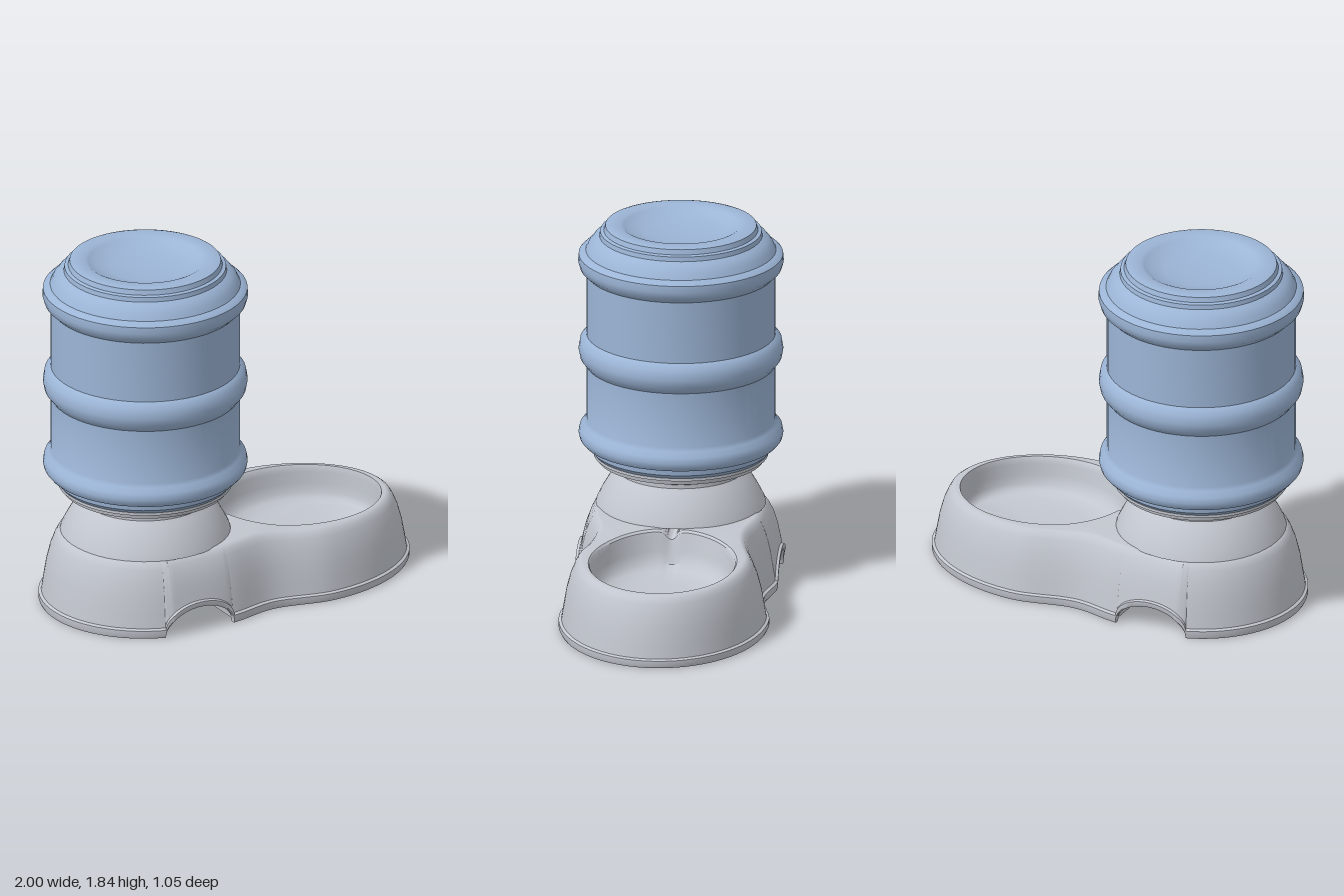
import * as THREE from 'three';
import { toCreasedNormals } from 'three/addons/utils/BufferGeometryUtils.js';

const plastic = new THREE.MeshStandardMaterial({ color: 0xc2c6ce, side: THREE.DoubleSide });
plastic.name = 'pale grey plastic';
const blue = new THREE.MeshStandardMaterial({ color: 0x9cb5d6 });
blue.name = 'blue plastic';

const JUG_X = -0.465;
const smooth = (x, a, b, from, to) => from + (to - from) * THREE.MathUtils.smoothstep(x, a, b);

// Half-width of the two-lobed footprint
function halfWidth(x) {
  if (x < -0.47) return Math.min(0.51, 0.525 * Math.sqrt(Math.max(0, 1 - ((x + 0.47) / 0.53) ** 2)));
  if (x < 0) return smooth(x, -0.27, 0, 0.51, 0.465);
  if (x < 0.33) return smooth(x, 0, 0.33, 0.465, 0.525);
  return 0.525 * Math.sqrt(Math.max(0, 1 - ((x - 0.33) / 0.67) ** 2));
}

// Height of the arch cut through the foot, and height of the upper edge
const arch = x => 0.13 * Math.sqrt(Math.max(0, 1 - ((x + 0.445) / 0.195) ** 2));
const topHeight = x => (x < 0.2 ? smooth(x, -0.1, 0.2, 0.38, 0.362) : 0.362 - 0.024 * (x - 0.2));

// Surface through rows of points
function surface(rows, closed) {
  const n = rows[0].length, index = [];
  for (let j = 0; j < rows.length - 1; j++) {
    for (let i = 0; i < (closed ? n : n - 1); i++) {
      const k = (i + 1) % n, a = j * n + i, b = j * n + k;
      index.push(a, b, b + n, a, b + n, a + n);
    }
  }
  const geo = new THREE.BufferGeometry();
  geo.setAttribute('position', new THREE.Float32BufferAttribute(rows.flat(2), 3));
  geo.setIndex(index);
  return toCreasedNormals(geo, 0.6);
}

// Footprint loop with outward normals
function footprint() {
  const xs = [];
  for (const [a, b, n] of [[-1, -0.64, 24], [-0.64, -0.25, 28], [-0.25, 1, 50]]) {
    for (let i = 0; i < n; i++) xs.push(a + (b - a) * (1 - Math.cos(Math.PI * i / n)) / 2);
  }
  xs.push(1);
  const front = xs.map(x => [x, halfWidth(x)]);
  const loop = [...front, ...front.slice(1, -1).reverse().map(([x, z]) => [x, -z])];
  return loop.map(([x, z], i) => {
    const p = loop[(i + loop.length - 1) % loop.length], q = loop[(i + 1) % loop.length];
    const dx = q[0] - p[0], dz = q[1] - p[1], l = Math.hypot(dx, dz);
    return { x, z, nx: -dz / l, nz: dx / l };
  });
}

function makeBase() {
  const loop = footprint(), group = new THREE.Group();
  group.name = 'base';
  const inset = (p, d) => [p.x - p.nx * d, p.z - p.nz * d];

  // Outer wall: [inset, fraction of the height]
  const wall = [[0.03, 0.05], [0.025, 0], [0.005, 0], [0, 0.03], [0, 0.11], [0.014, 0.13], [0.024, 0.3],
    [0.038, 0.53], [0.058, 0.74], [0.08, 0.89], [0.095, 0.96], [0.112, 0.995], [0.122, 1]];
  const rows = wall.map(([d, t]) => loop.map(p => {
    const [x, z] = inset(p, d), a = arch(p.x);
    return [x, a + t * (topHeight(x) - a), z];
  }));

  // Bowl: from the rim down to the flat floor
  const floorY = 0.165;
  const bowl = [[0, 1], [0.06, 0.95], [0.1, 0.8], [0.16, 0.5], [0.24, 0.25], [0.4, 0.12], [0.7, 0.04], [1, 0]];
  const onEllipse = (ang, cx, a, b) => {
    const c = Math.cos(ang), s = Math.sin(ang), r = a * b / Math.hypot(b * c, a * s);
    return [cx + r * c, r * s];
  };
  for (const [u, h] of bowl) {
    rows.push(loop.map(p => {
      const [ox, oz] = inset(p, 0.122), ang = Math.atan2(oz, ox - 0.41);
      const rim = onEllipse(ang, 0.41, 0.445, 0.37), flat = onEllipse(ang, 0.51, 0.31, 0.23);
      const x = rim[0] + (flat[0] - rim[0]) * u, z = rim[1] + (flat[1] - rim[1]) * u;
      // feed notch under the collar
      const notch = x < 0.3 ? 0.045 * Math.exp(-((z / 0.035) ** 2)) * h : 0;
      return [x, floorY + h * (topHeight(rim[0]) - floorY) - notch, z];
    }));
  }
  rows.push(loop.map(() => [0.51, floorY, 0]));
  const shell = new THREE.Mesh(surface(rows, true), plastic);
  shell.name = 'baseShellAndBowl';

  // Underside with the arched tunnel
  const half = loop.length / 2;
  const strips = loop.slice(0, half + 1).map(p => {
    const [x, z] = inset(p, 0.03), a = arch(p.x), y = a + 0.05 * (topHeight(x) - a);
    return [[x, y, z], [x, y, -z]];
  });
  const under = new THREE.Mesh(surface(strips, false), plastic);
  under.name = 'underside';
  group.add(shell, under);
  return group;
}

function lathe(name, profile, material) {
  const geo = new THREE.LatheGeometry(profile.map(([r, y]) => new THREE.Vector2(r, y)), 56);
  const mesh = new THREE.Mesh(toCreasedNormals(geo, 0.6), material);
  mesh.name = name;
  mesh.position.x = JUG_X;
  return mesh;
}

export function createModel() {
  const model = new THREE.Group();
  model.name = 'petFeeder';
  model.add(makeBase());

  // Flared collar holding the jug
  model.add(lathe('collar', [[0.425, 0.375], [0.42, 0.39], [0.395, 0.44], [0.36, 0.5], [0.335, 0.53], [0.318, 0.55],
    [0.318, 0.57], [0.34, 0.585], [0.395, 0.6], [0.415, 0.605], [0.42, 0.625], [0.436, 0.63], [0.436, 0.645],
    [0.38, 0.645]], plastic));

  // Jug with three rounded bands and a dished end
  const band = (y, h) => [[0.472, y], [0.482, y + 0.08 * h], [0.503, y + 0.25 * h], [0.511, y + 0.5 * h],
    [0.503, y + 0.8 * h], [0.482, y + 0.95 * h], [0.472, y + h]];
  model.add(lathe('jug', [[0, 0.63], [0.4, 0.63], [0.435, 0.645], [0.453, 0.665], [0.457, 0.7], [0.49, 0.702],
    [0.505, 0.72], [0.511, 0.745], [0.505, 0.775], [0.482, 0.8], [0.472, 0.82],
    ...band(1.105, 0.16),
    [0.472, 1.585], [0.482, 1.595], [0.503, 1.615], [0.513, 1.65], [0.51, 1.685], [0.495, 1.698], [0.475, 1.705],
    [0.46, 1.735], [0.435, 1.765], [0.407, 1.78], [0.403, 1.803], [0.385, 1.808], [0.377, 1.833],
    [0.36, 1.838], [0.3, 1.838], [0.285, 1.83], [0.25, 1.81], [0.18, 1.795], [0.09, 1.787], [0, 1.785]], blue));
  return model;
}
